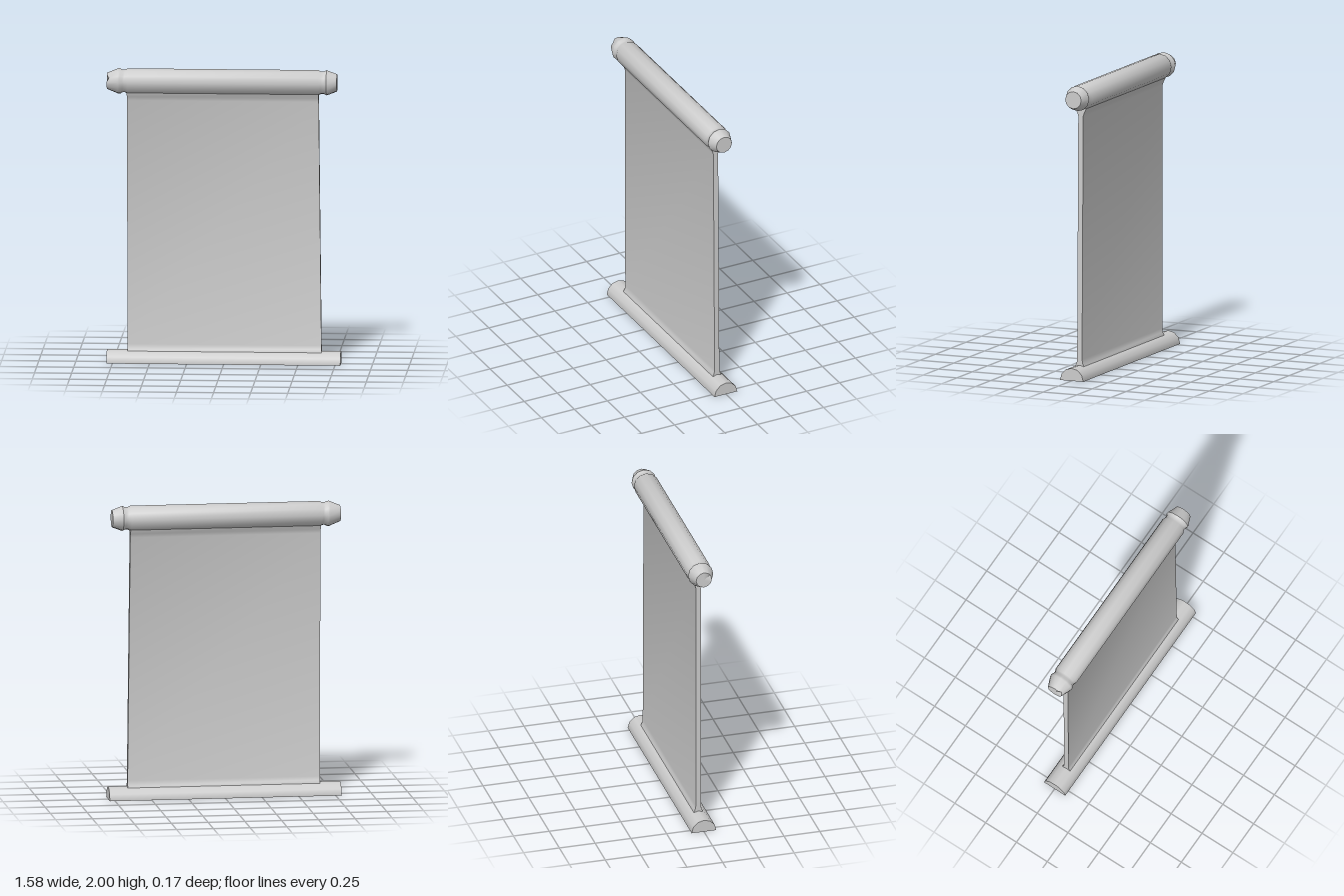
import * as THREE from 'three';
import { toCreasedNormals } from 'three/addons/utils/BufferGeometryUtils.js';

const material = new THREE.MeshStandardMaterial({ color: 0xcccccc });
const R = 0.086;
const ROLLER_Y = 2 - R;

function part(name, geometry) {
  const mesh = new THREE.Mesh(geometry, material);
  mesh.name = name;
  return mesh;
}

// Turned roller with a groove and a tapered knob at each end
function rollerGeometry() {
  const profile = [
    [0, -0.79], [0.055, -0.79], [R, -0.715], [R, -0.7], [0.077, -0.685], [0.077, -0.67], [R, -0.65],
    [R, 0.635], [0.077, 0.652], [0.077, 0.672], [R, 0.69], [0.059, 0.76], [0, 0.76],
  ].map(([r, x]) => new THREE.Vector2(r, x));
  const g = new THREE.LatheGeometry(profile, 12);
  g.rotateZ(-Math.PI / 2);
  // Small chip in the rim of one knob
  const p = g.attributes.position;
  for (let i = 0; i < p.count; i++) {
    if (p.getX(i) < -0.78 && p.getY(i) > 0.02 && p.getY(i) < 0.04 && p.getZ(i) > 0) p.setX(i, -0.775);
  }
  return toCreasedNormals(g, 0.75);
}

// Hanging sheet: thin slab flaring into the roller and the base
function sheetGeometry() {
  const side = [[0.034, 0.06], [0.03, 0.085], [0.022, 0.1], [0.018, 0.125], [0.018, 1.785], [0.026, 1.81], [0.042, 1.84], [0.05, 1.88]];
  const outline = [...side, ...side.map(([z, y]) => [-z, y]).reverse()];
  const shape = new THREE.Shape(outline.map(([z, y]) => new THREE.Vector2(z, y)));
  const g = new THREE.ExtrudeGeometry(shape, { depth: 1, bevelEnabled: false });
  g.rotateY(Math.PI / 2);
  // The side edges lean slightly
  const p = g.attributes.position;
  for (let i = 0; i < p.count; i++) {
    const t = p.getY(i) / 2;
    const left = THREE.MathUtils.lerp(-0.65, -0.656, t);
    const right = THREE.MathUtils.lerp(0.657, 0.635, t);
    p.setX(i, THREE.MathUtils.lerp(left, right, p.getX(i)));
  }
  return toCreasedNormals(g, 0.75);
}

export function createModel() {
  const model = new THREE.Group();
  model.name = 'hangingScroll';

  const roller = part('topRoller', rollerGeometry());
  roller.position.y = ROLLER_Y;
  model.add(roller);

  model.add(part('sheet', sheetGeometry()));

  // Half-round base bar with a flat underside
  const base = new THREE.Group();
  base.name = 'baseBar';
  const bar = new THREE.CylinderGeometry(R, R, 1.576, 6, 1, false, 0, Math.PI);
  bar.rotateZ(Math.PI / 2);
  base.add(part('halfRound', bar));
  const underside = new THREE.PlaneGeometry(1.576, 2 * R);
  underside.rotateX(Math.PI / 2);
  base.add(part('underside', underside));
  base.position.x = -0.002;
  model.add(base);

  return model;
}
